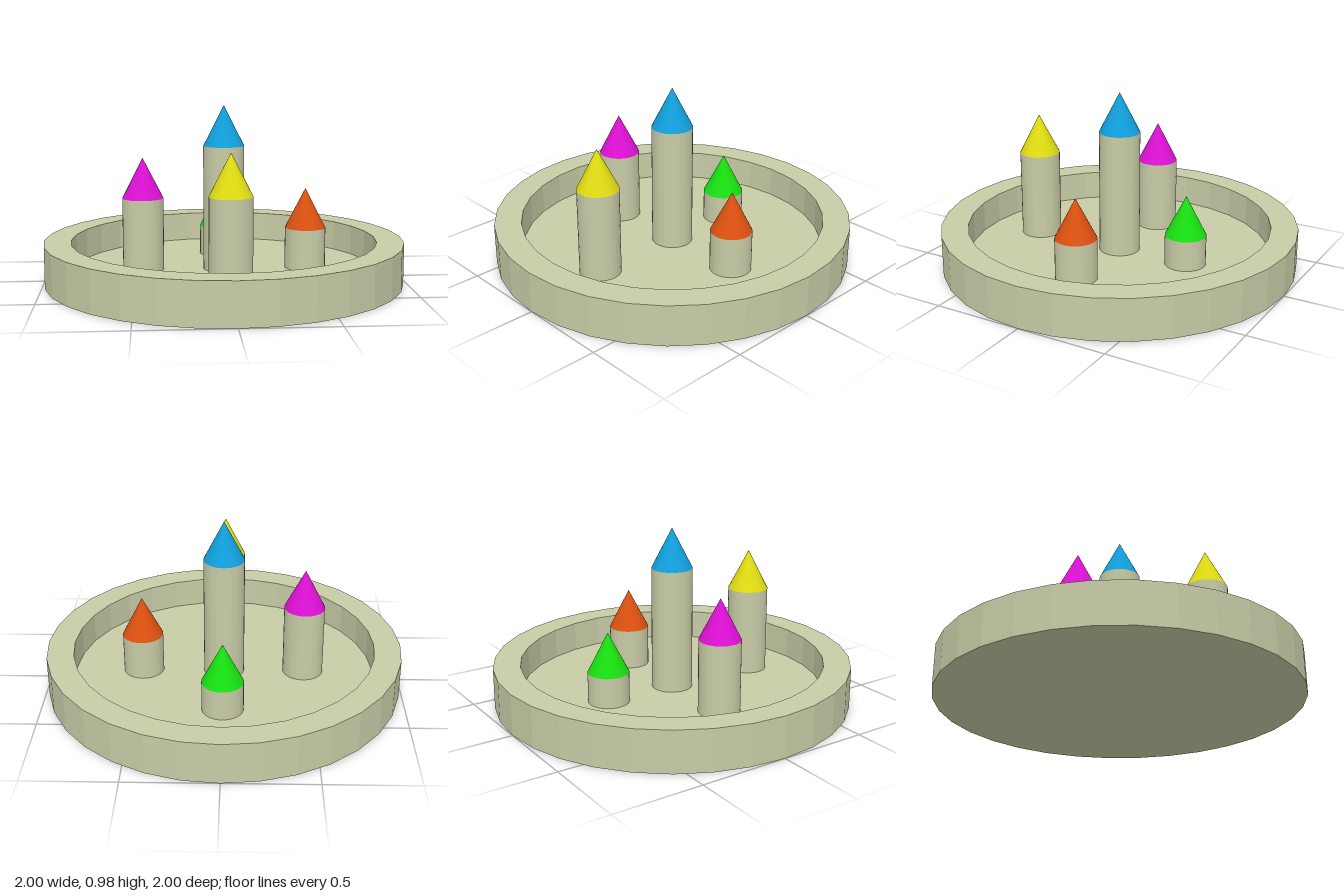
import * as THREE from 'three';

const STONE = 0xc8cca6;
const FLOOR = 0.06;
const RADIUS = 0.114;
const ROOF = 0.224;

function part(name, geometry, color, y = 0) {
  const material = new THREE.MeshStandardMaterial({ color, flatShading: true });
  const mesh = new THREE.Mesh(geometry, material);
  mesh.name = name;
  mesh.position.y = y;
  return mesh;
}

// Round post standing on the tray floor, with a pointed cap
function tower(name, x, z, top, color) {
  const group = new THREE.Group();
  group.name = name;
  group.position.set(x, 0, z);
  const height = top - FLOOR;
  group.add(
    part('post', new THREE.CylinderGeometry(RADIUS, RADIUS, height, 32), STONE, FLOOR + height / 2),
    part('cap', new THREE.ConeGeometry(RADIUS, ROOF, 32), color, top + ROOF / 2)
  );
  return group;
}

export function createModel() {
  const model = new THREE.Group();
  model.name = 'towerTray';

  // Shallow round tray with a raised rim
  const profile = [[0, 0], [1, 0], [1, 0.23], [0.85, 0.23], [0.85, FLOOR], [0, FLOOR]]
    .map(([r, y]) => new THREE.Vector2(r, y));
  model.add(part('tray', new THREE.LatheGeometry(profile, 32), STONE));

  // Five towers: name, x, z, height of the cap's base, cap colour
  const towers = [
    ['centreTower', 0, 0, 0.753, 0x109fdc],
    ['frontTower', 0, 0.535, 0.552, 0xe0dc12],
    ['rightTower', -0.45, 0, 0.465, 0xdc10d4],
    ['leftTower', 0.46, 0, 0.288, 0xdc5010],
    ['backTower', 0, -0.417, 0.23, 0x18e010],
  ];
  for (const t of towers) model.add(tower(...t));

  return model;
}
